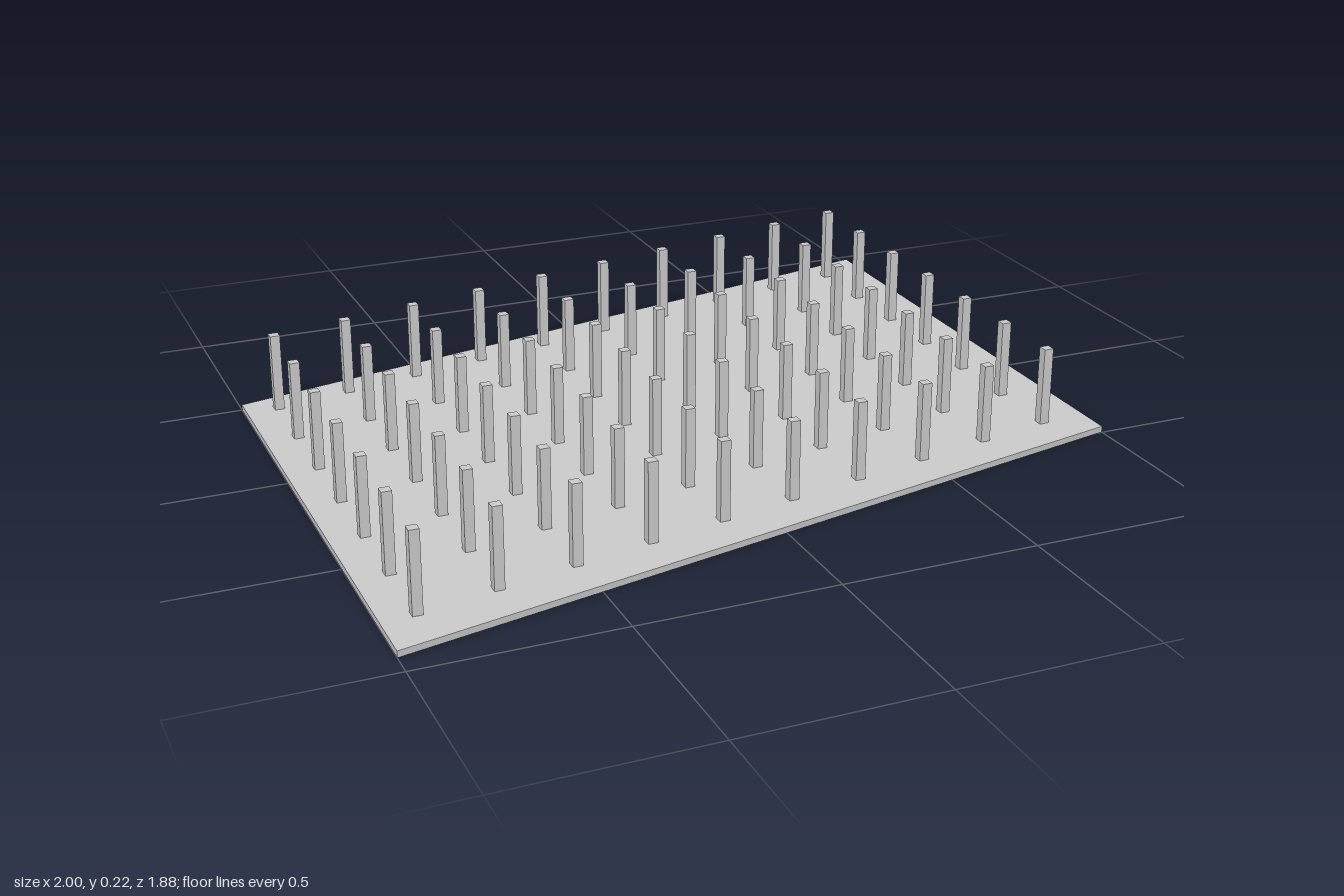
import * as THREE from 'three';

const THICK = 0.016;   // plate thickness
const TOP = 0.22;      // height of the post tops
const POST = 0.025;    // post width
const COLS = 10, ROWS = 7;

export function createModel() {
  const group = new THREE.Group();
  const material = new THREE.MeshStandardMaterial({ color: 0xcccccc, flatShading: true });

  // Base plate: a box sheared along z into a parallelogram
  const plateGeo = new THREE.BoxGeometry(2, THICK, 1.436);
  plateGeo.applyMatrix4(new THREE.Matrix4().set(
    1, 0, 0, 0,
    0, 1, 0, THICK / 2,
    -0.22, 0, 1, 0,
    0, 0, 0, 1));
  plateGeo.computeVertexNormals();
  const plate = new THREE.Mesh(plateGeo, material);
  plate.name = 'basePlate';
  group.add(plate);

  // Square posts on a grid that follows the plate's slant
  const posts = new THREE.Group();
  posts.name = 'posts';
  const postGeo = new THREE.BoxGeometry(POST, TOP - THICK, POST);
  for (let c = 0; c < COLS; c++) {
    for (let r = 0; r < ROWS; r++) {
      const post = new THREE.Mesh(postGeo, material);
      post.name = `post_${c + 1}_${r + 1}`;
      post.position.set(
        -0.915 + c * 0.1987,
        (TOP + THICK) / 2,
        -0.441 + r * 0.2059 - c * 0.0425);
      posts.add(post);
    }
  }
  group.add(posts);
  return group;
}
